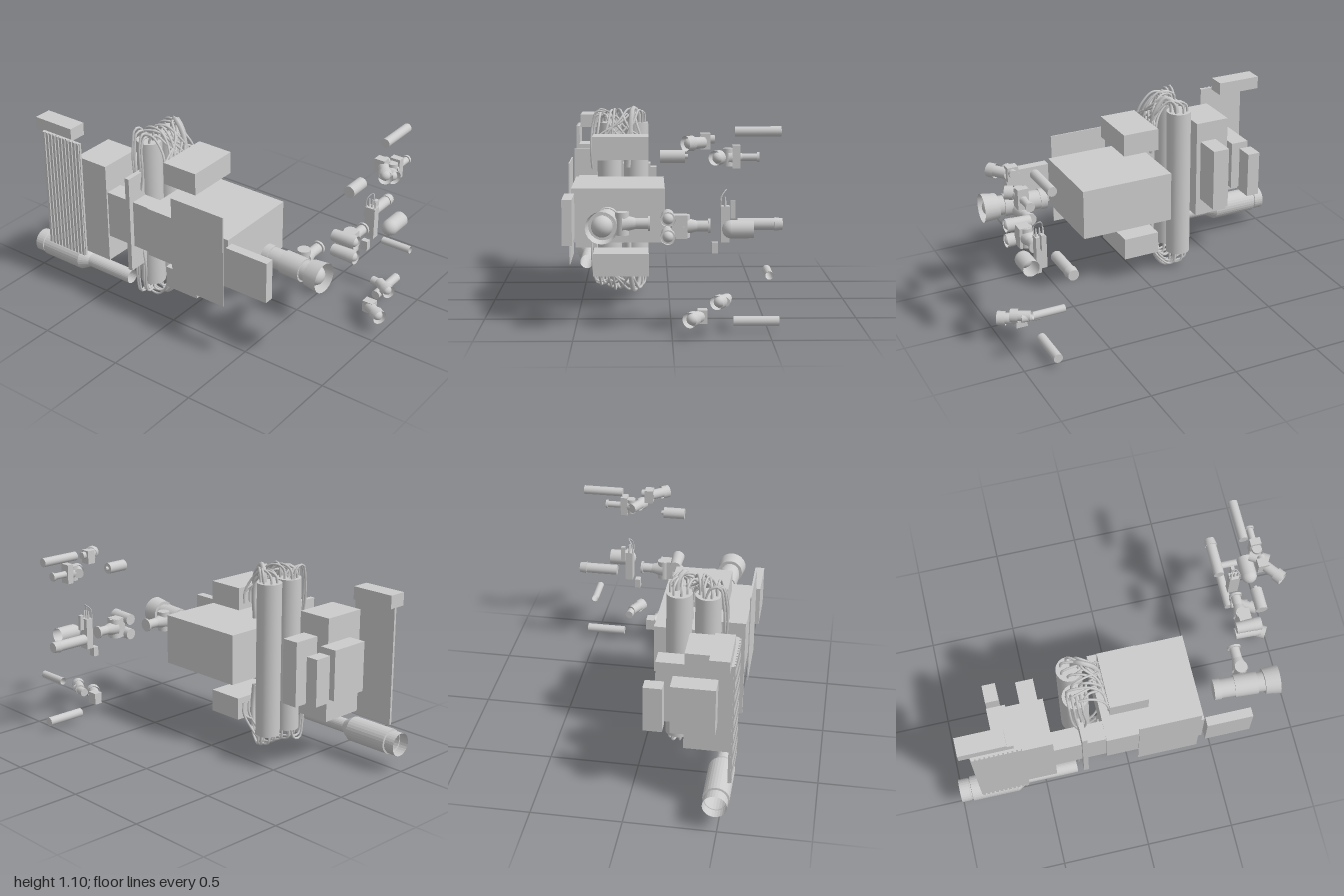
import * as THREE from 'three';

const V = (x, y, z) => new THREE.Vector3(x, y, z);
const grey = new THREE.MeshStandardMaterial({ color: 0xcccccc, side: THREE.DoubleSide });

export function createModel() {
  const root = new THREE.Group();

  const add = (name, geometry, parent = root) => {
    const mesh = new THREE.Mesh(geometry, grey);
    mesh.name = name;
    parent.add(mesh);
    return mesh;
  };
  // Box given by its limits on each axis
  const box = (name, x0, x1, y0, y1, z0, z1, parent) => {
    const m = add(name, new THREE.BoxGeometry(x1 - x0, y1 - y0, z1 - z0), parent);
    m.position.set((x0 + x1) / 2, (y0 + y1) / 2, (z0 + z1) / 2);
    return m;
  };
  // Cylinder or cone between two points
  const rod = (name, a, b, r0, r1 = r0, open = false, parent = root) => {
    const d = b.clone().sub(a);
    const m = add(name, new THREE.CylinderGeometry(r1, r0, d.length(), 20, 1, open), parent);
    m.position.copy(a).addScaledVector(d, 0.5);
    m.quaternion.setFromUnitVectors(V(0, 1, 0), d.normalize());
    return m;
  };
  const ball = (name, p, r, parent) => {
    const m = add(name, new THREE.SphereGeometry(r, 18, 12), parent);
    m.position.copy(p);
    return m;
  };

  // Main body and front plates
  box('mainBody', -0.14, 0.41, 0.41, 0.705, 0.03, 0.535);
  box('frontPanel', 0.04, 0.385, 0.286, 0.837, 0.543, 0.549);
  box('sidePlate', 0.42, 0.68, 0.44, 0.68, 0.517, 0.57);
  box('bodyConnector', -0.435, -0.14, 0.42, 0.70, 0.415, 0.522);
  box('verticalBar', -0.278, -0.25, 0.27, 0.853, 0.42, 0.55);

  // Upper and lower modules
  box('upperModule', -0.1, 0.115, 0.826, 0.955, 0.117, 0.432);
  box('lowerModule', -0.1, 0.115, 0.165, 0.295, 0.117, 0.432);

  // Side cabinet with boxes behind it
  box('sideCabinet', -0.64, -0.433, 0.263, 0.864, 0.27, 0.532);
  box('cabinetSideBox', -0.746, -0.64, 0.43, 0.72, 0.21, 0.45);
  box('cabinetRearBox', -0.56, -0.46, 0.37, 0.745, 0.105, 0.27);
  box('rearSmallBox', -0.745, -0.67, 0.43, 0.70, 0.067, 0.17);

  // Ribbed panel with its header
  box('headerBox', -0.936, -0.674, 0.948, 1.023, 0.43, 0.535);
  const panel = new THREE.Group();
  panel.name = 'ribbedPanel';
  root.add(panel);
  box('panelBack', -0.877, -0.6, 0.24, 0.96, 0.536, 0.549, panel);
  for (let i = 0; i < 11; i++) {
    const x = -0.864 + i * 0.0251;
    box('rib', x - 0.008, x + 0.008, 0.24, 0.96, 0.545, 0.557, panel);
  }

  // Hollow stepped pipe, turned onto the x axis
  const profile = [[0.066, -1], [0.066, -0.945], [0.061, -0.943], [0.061, -0.935], [0.072, -0.933],
    [0.072, -0.665], [0.04, -0.61], [0.04, -0.31]];
  const pipe = add('steppedPipe', new THREE.LatheGeometry(
    profile.map(([r, x]) => new THREE.Vector2(r, x)), 28).toNonIndexed());
  pipe.geometry.computeVertexNormals();
  pipe.rotation.z = -Math.PI / 2;
  pipe.position.set(0, 0.173, 0.485);

  // Twin tanks
  for (const z of [0.346, 0.189]) rod('tank', V(-0.268, 0.11, z), V(-0.268, 1.01, z), 0.071);

  // Cables arch from the tank ends to the modules, above and below
  const cables = new THREE.Group();
  cables.name = 'cables';
  root.add(cables);
  const cable = (points, r) => {
    for (const flip of [false, true]) {
      const curve = new THREE.CatmullRomCurve3(points.map(([x, y, z]) => V(x, flip ? 1.12 - y : y, z)));
      add('cable', new THREE.TubeGeometry(curve, 22, r, 6), cables);
    }
  };
  [0.346, 0.189].forEach((zc, t) => {
    for (let i = 0; i < 7; i++) {
      const a = (i / 7) * Math.PI * 2 + t;
      const x = -0.268 + 0.048 * Math.cos(a), z = zc + 0.048 * Math.sin(a);
      const top = 1.05 + 0.007 * i, end = 0.16 + ((i * 3 + t) % 7) * 0.042;
      cable([[x, 0.99, z], [x + 0.01, top - 0.015, z], [-0.2, top, z * 0.8 + end * 0.2],
        [-0.135, top - 0.06, (z + end) / 2], [-0.105, 0.93, end], [-0.1, 0.86, end]], 0.007);
    }
  });
  // Thick cables and the loops hanging down the front
  cable([[-0.25, 0.99, 0.17], [-0.23, 1.07, 0.18], [-0.19, 1.095, 0.205], [-0.14, 1.04, 0.215],
    [-0.112, 0.92, 0.225], [-0.115, 0.76, 0.235]], 0.015);
  for (let i = 0; i < 4; i++) {
    const x = -0.315 + i * 0.024, z = 0.43 + (i % 2) * 0.012;
    cable([[x, 0.99, 0.33], [x, 1.07 - i * 0.01, 0.36], [x, 1.08 - i * 0.01, z - 0.02],
      [x, 1.0, z], [x + 0.01, 0.85, z + 0.01], [-0.27, 0.68, z]], 0.007);
  }

  // Large camera on its flanged stem
  const camera = new THREE.Group();
  camera.name = 'largeCamera';
  root.add(camera);
  rod('cameraBody', V(0.525, 0.56, 0.335), V(0.82, 0.565, 0.352), 0.056, 0.056, false, camera);
  rod('cameraCollar', V(0.52, 0.56, 0.335), V(0.56, 0.56, 0.337), 0.061, 0.061, false, camera);
  rod('cameraCollar', V(0.64, 0.562, 0.34), V(0.77, 0.563, 0.349), 0.065, 0.065, false, camera);
  rod('lensHood', V(0.81, 0.565, 0.352), V(0.895, 0.566, 0.357), 0.074, 0.083, true, camera);
  rod('lensBack', V(0.808, 0.565, 0.352), V(0.815, 0.565, 0.352), 0.074, 0.074, false, camera);
  ball('lens', V(0.835, 0.565, 0.355), 0.056, camera);

  // Flanged stem pointing backward from a pivot
  const stem = (x, y, z0, z1, r, h, parent) => {
    rod('pivot', V(x, y - h, z0), V(x, y + h, z0), h * 0.6, h * 0.6, false, parent);
    rod('stemCone', V(x, y, z0), V(x, y, z0 - 0.07), h * 0.8, r, false, parent);
    rod('stem', V(x, y, z0 - 0.05), V(x, y, z1), r, r, false, parent);
    rod('stemFlange', V(x, y, z1 + 0.012), V(x, y, z1), r * 1.35, r * 1.35, false, parent);
  };
  stem(0.7, 0.56, 0.255, 0.11, 0.029, 0.06, camera);

  // Twin lamps on a second stem
  const lamps = new THREE.Group();
  lamps.name = 'twinLamps';
  root.add(lamps);
  for (const y of [0.607, 0.515]) {
    rod('lampBody', V(0.735, y, 0.02), V(0.86, y, 0.02), 0.033, 0.037, false, lamps);
    rod('lampRim', V(0.84, y, 0.02), V(0.88, y, 0.02), 0.038, 0.038, true, lamps);
    ball('lampLens', V(0.858, y, 0.02), 0.028, lamps);
  }
  box('lampBracket', 0.765, 0.835, 0.5, 0.62, -0.08, 0.0, lamps);
  stem(0.79, 0.56, -0.06, -0.198, 0.028, 0.058, lamps);

  // Pin bracket with a wire hoop
  const bracket = new THREE.Group();
  bracket.name = 'pinBracket';
  root.add(bracket);
  box('bracketPlate', 0.765, 0.825, 0.48, 0.665, -0.295, -0.25, bracket);
  box('bracketFoot', 0.775, 0.815, 0.42, 0.477, -0.237, -0.205, bracket);
  box('bracketRail', 0.785, 0.805, 0.6, 0.69, -0.325, -0.3, bracket);
  for (const x of [0.775, 0.795, 0.815]) {
    rod('pin', V(x, 0.66, -0.272), V(x, 0.71, -0.272), 0.007, 0.004, false, bracket);
  }
  add('wireHoop', new THREE.TubeGeometry(new THREE.CatmullRomCurve3([
    V(0.77, 0.66, -0.25), V(0.772, 0.72, -0.255), V(0.795, 0.747, -0.278),
    V(0.818, 0.72, -0.255), V(0.82, 0.66, -0.25)]), 20, 0.003, 6), bracket);

  // Round-nosed pod and slim canister
  rod('podShell', V(0.9, 0.56, -0.41), V(0.9, 0.56, -0.295), 0.046, 0.046, true);
  ball('podNose', V(0.9, 0.56, -0.297), 0.046);
  rod('canister', V(0.732, 0.56, -0.34), V(0.732, 0.56, -0.56), 0.031);
  rod('canisterCap', V(0.732, 0.56, -0.53), V(0.732, 0.56, -0.572), 0.036, 0.03);

  // Loose tubes
  rod('crossTube', V(0.755, 0.329, -0.49), V(0.935, 0.329, -0.49), 0.021, 0.021, true);
  for (const y of [1.047, 0.07]) rod('longTube', V(0.825, y, -0.317), V(0.825, y, -0.552), 0.026);
  rod('shortCanister', V(0.84, 0.923, 0.06), V(0.84, 0.923, -0.065), 0.033);
  rod('canisterTip', V(0.84, 0.923, -0.06), V(0.84, 0.923, -0.082), 0.012);

  // Small aimed cameras: centre, viewing direction and radius
  const smallCamera = (p, dir, r, parent) => {
    const d = dir.normalize();
    const at = (t) => p.clone().addScaledVector(d, t * r);
    rod('housing', at(-1.8), at(0.4), r * 0.78, r * 0.78, false, parent);
    rod('hood', at(0), at(1.2), r, r, true, parent);
    ball('lens', at(0.5), r * 0.72, parent);
  };
  const upper = new THREE.Group();
  upper.name = 'upperSensors';
  root.add(upper);
  smallCamera(V(0.955, 1.0, -0.1), V(0.6, 0, 0.8), 0.038, upper);
  box('sensorBracket', 0.865, 0.925, 0.965, 1.045, -0.19, -0.14, upper);
  rod('sensorStem', V(0.9, 1.015, -0.16), V(0.9, 1.015, -0.212), 0.022, 0.022, false, upper);
  smallCamera(V(0.915, 0.925, -0.235), V(0.85, 0, 0.5), 0.037, upper);
  box('sensorBracket', 0.87, 0.93, 0.87, 0.985, -0.34, -0.3, upper);
  stem(0.9, 0.925, -0.28, -0.435, 0.019, 0.045, upper);

  const lower = new THREE.Group();
  lower.name = 'lowerSensors';
  root.add(lower);
  smallCamera(V(0.95, 0.112, -0.11), V(0.85, 0, 0.5), 0.04, lower);
  box('sensorBracket', 0.85, 0.915, 0.075, 0.145, -0.18, -0.13, lower);
  smallCamera(V(0.925, 0.195, -0.245), V(0.85, 0, 0.5), 0.037, lower);
  rod('sensorStem', V(0.82, 0.19, -0.285), V(0.92, 0.19, -0.27), 0.024, 0.024, false, lower);

  return root;
}
